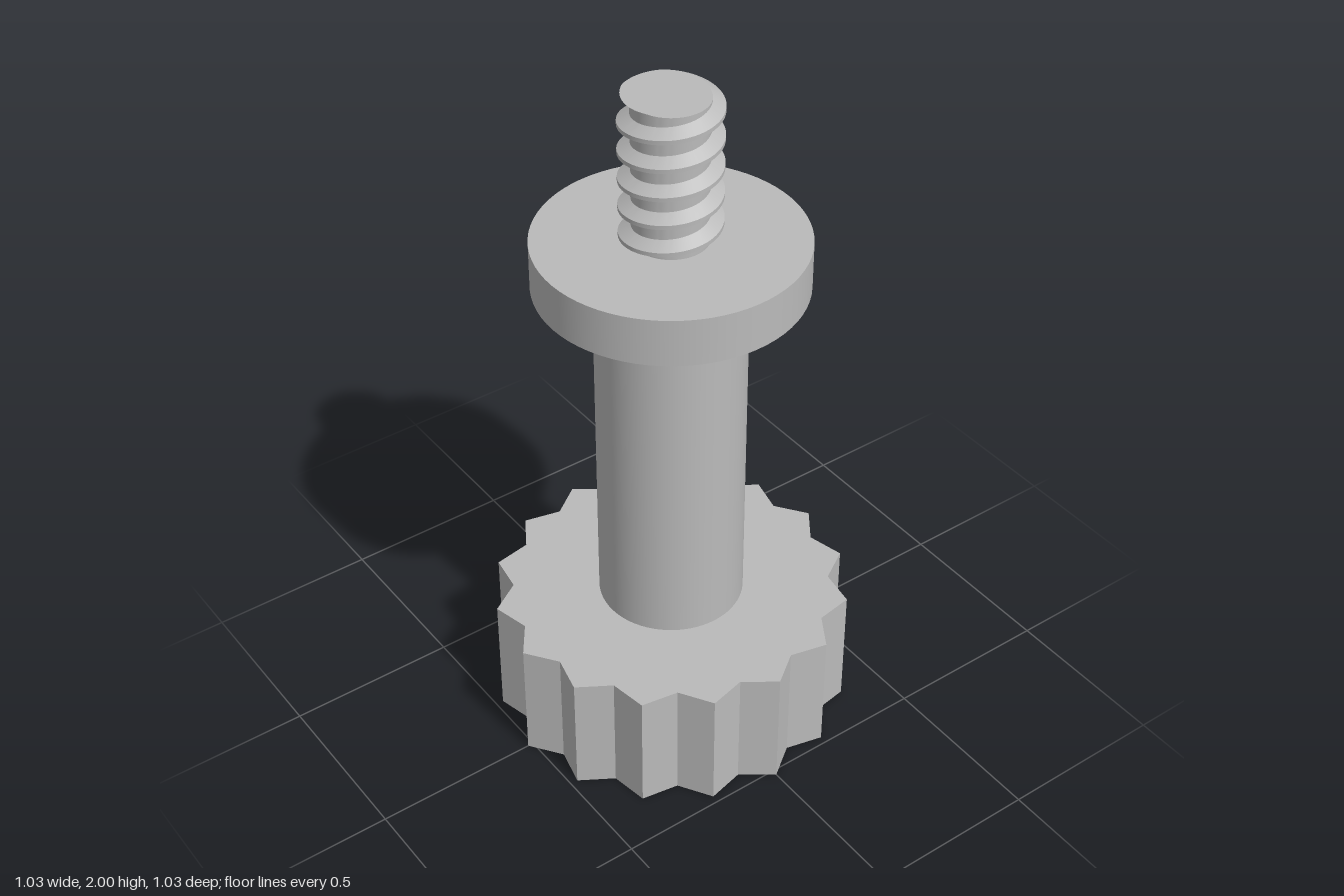
import * as THREE from 'three';
import { toCreasedNormals } from 'three/addons/utils/BufferGeometryUtils.js';

// Right-handed V thread: each angular column is a tooth profile shifted along the helix
function threadGeometry(y0, y1, rootR, crestR, pitch, segments) {
  // tooth outline over one pitch: [offset from crest centre, radius]
  const crest = 0.006, flank = 0.025;
  const tooth = [[-flank, rootR], [-crest, crestR], [crest, crestR], [flank, rootR]];
  const radiusAt = (d) => {
    const m = Math.abs(d - pitch * Math.round(d / pitch));
    const t = THREE.MathUtils.clamp((m - crest) / (flank - crest), 0, 1);
    return THREE.MathUtils.lerp(crestR, rootR, t);
  };
  const turns = Math.ceil((y1 - y0) / pitch) + 2;

  const columns = [];
  for (let i = 0; i <= segments; i++) {
    const a = (i / segments) * Math.PI * 2;
    const phase = y1 + pitch * (a / (Math.PI * 2) - 0.5);
    const column = [];
    for (let k = -turns; k <= 2; k++) {
      for (const [offset] of tooth) {
        const y = THREE.MathUtils.clamp(phase + k * pitch + offset, y0, y1);
        const r = radiusAt(y - phase);
        column.push(new THREE.Vector3(r * Math.sin(a), y, r * Math.cos(a)));
      }
    }
    columns.push(column);
  }

  const positions = [];
  const triangle = (a, b, c) => {
    const area = b.clone().sub(a).cross(c.clone().sub(a)).length();
    if (area > 1e-9) for (const p of [a, b, c]) positions.push(p.x, p.y, p.z);
  };
  const top = new THREE.Vector3(0, y1, 0);
  for (let i = 0; i < segments; i++) {
    const c = columns[i], n = columns[i + 1];
    for (let k = 0; k < c.length - 1; k++) {
      triangle(c[k], n[k], n[k + 1]);
      triangle(c[k], n[k + 1], c[k + 1]);
    }
    triangle(top, c[c.length - 1], n[n.length - 1]);
  }
  const geometry = new THREE.BufferGeometry();
  geometry.setAttribute('position', new THREE.Float32BufferAttribute(positions, 3));
  return toCreasedNormals(geometry, 0.45);
}

export function createModel() {
  const model = new THREE.Group();
  model.name = 'thumbScrew';
  const metal = new THREE.MeshStandardMaterial({ color: 0xbababa });
  metal.name = 'grey metal';

  const add = (name, geometry, y = 0) => {
    const mesh = new THREE.Mesh(geometry, metal);
    mesh.name = name;
    mesh.position.y = y;
    model.add(mesh);
  };
  const disc = (name, radius, y0, y1) =>
    add(name, new THREE.CylinderGeometry(radius, radius, y1 - y0, 72), (y0 + y1) / 2);

  // Knurled knob: 16 pointed ridges
  const ridges = 16;
  const outline = [];
  for (let i = 0; i < ridges * 2; i++) {
    const a = (i / ridges) * Math.PI;
    const r = i % 2 ? 0.461 : 0.517;
    outline.push(new THREE.Vector2(r * Math.cos(a), r * Math.sin(a)));
  }
  const knob = new THREE.ExtrudeGeometry(new THREE.Shape(outline), { depth: 0.375, bevelEnabled: false });
  knob.rotateX(-Math.PI / 2);
  add('knob', knob);

  // Plain shaft and collar
  disc('shaft', 0.21, 0.375, 1.44);
  disc('collar', 0.374, 1.44, 1.58);

  // Threaded tip
  add('thread', threadGeometry(1.58, 2, 0.105, 0.139, 0.083, 72));
  return model;
}
